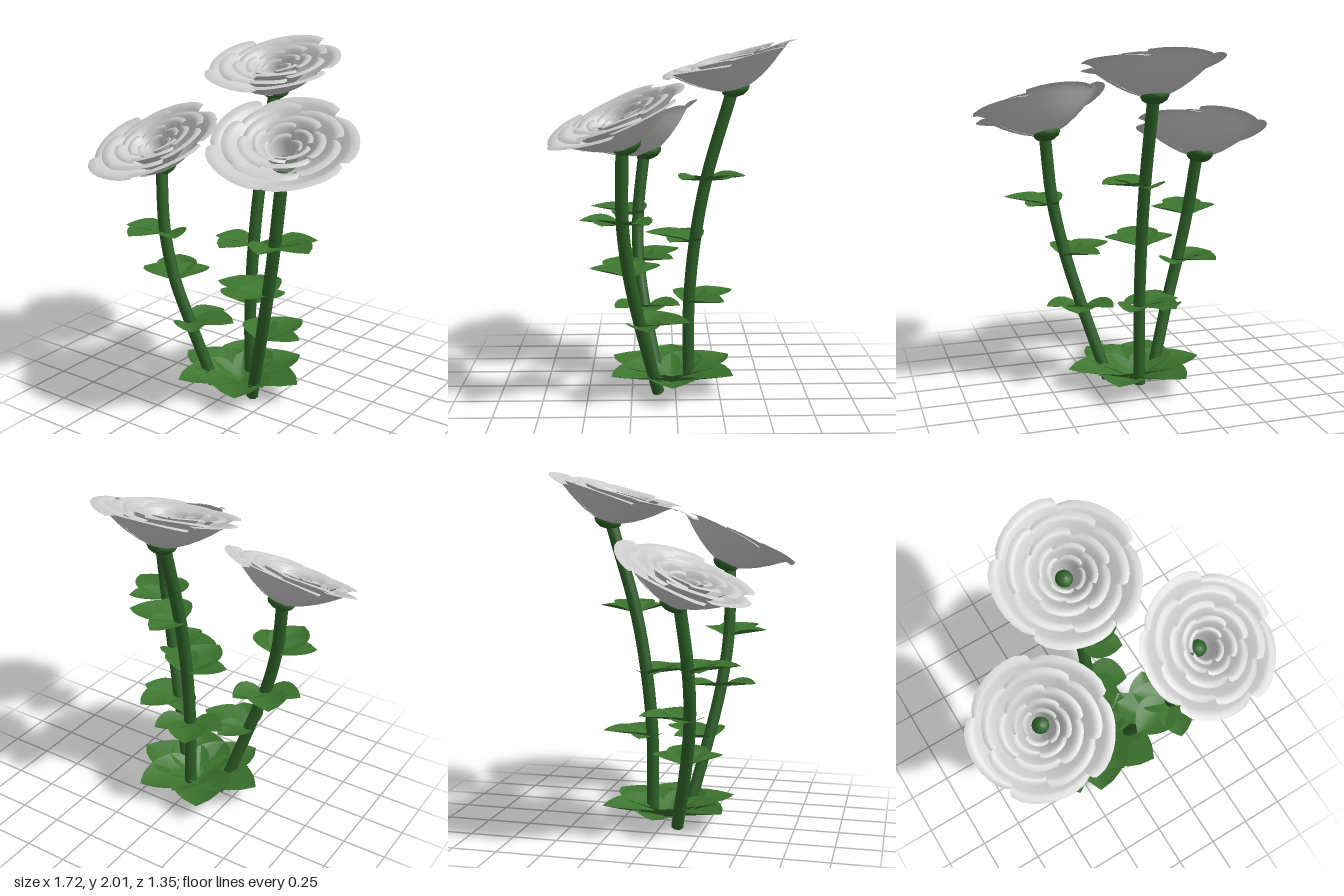
import * as THREE from 'three';

const petalMat = new THREE.MeshStandardMaterial({ color: 0xcccccc, side: THREE.DoubleSide });
const leafMat = new THREE.MeshStandardMaterial({ color: 0x3c742e, side: THREE.DoubleSide });
const stemMat = new THREE.MeshStandardMaterial({ color: 0x2c6026 });
const rad = THREE.MathUtils.degToRad;

// Open surface from a rule: f(u in -1..1, v in 0..1) -> [x, y, z]
function surface(f, nu, nv) {
  const pos = [], idx = [];
  for (let j = 0; j <= nv; j++)
    for (let i = 0; i <= nu; i++) pos.push(...f((i / nu) * 2 - 1, j / nv));
  for (let j = 0; j < nv; j++)
    for (let i = 0; i < nu; i++) {
      const a = j * (nu + 1) + i, b = a + nu + 1;
      idx.push(a, a + 1, b, b, a + 1, b + 1);
    }
  const g = new THREE.BufferGeometry();
  g.setAttribute('position', new THREE.Float32BufferAttribute(pos, 3));
  g.setIndex(idx);
  g.computeVertexNormals();
  return g;
}

function add(parent, geo, mat, name) {
  const m = new THREE.Mesh(geo, mat);
  m.name = name;
  parent.add(m);
  return m;
}

// Petal swept around the flower axis along a cup profile of [radius, height]
function petalGeometry(profile, halfAngle) {
  const curve = new THREE.SplineCurve(profile.map(p => new THREE.Vector2(...p)));
  return surface((u, v) => {
    const p = curve.getPoint(v);
    const r = p.x * (1 - 0.04 * v * u ** 6 + 0.035 * u * v);
    const a = u * halfAngle * (1 - 0.1 * v ** 8);
    const y = p.y + v * (0.014 * u - 0.01 * u * u);
    return [r * Math.cos(a), y, r * Math.sin(a)];
  }, 8, 9);
}

// Pointed leaf along +x, cupped so its edges stand above the midrib
function leafGeometry(length, width, rise, cup) {
  return surface((u, v) => {
    const w = width * 0.5 * Math.sin(Math.PI * (0.04 + 0.96 * v ** 0.85)) ** 0.75;
    const y = rise * v + cup * Math.abs(u) ** 1.4 * Math.sin(Math.PI * v ** 0.7);
    return [v * length, y, u * w];
  }, 6, 7);
}

// Petal rings, from the wide outer ring to the cup in the middle; each ends in a rolled lip
const rings = [
  { n: 5, half: 38, turn: -34, pts: [[0.03, 0.01], [0.13, 0.05], [0.23, 0.11], [0.32, 0.18], [0.355, 0.199], [0.388, 0.197]] },
  { n: 5, half: 38, turn: 5, pts: [[0.03, 0.02], [0.11, 0.07], [0.19, 0.135], [0.25, 0.19], [0.28, 0.208], [0.31, 0.203]] },
  { n: 5, half: 38, turn: -20, pts: [[0.03, 0.02], [0.08, 0.07], [0.14, 0.14], [0.175, 0.19], [0.2, 0.207], [0.225, 0.203]] },
  { n: 5, half: 38, turn: 15, pts: [[0.03, 0.02], [0.065, 0.07], [0.1, 0.14], [0.12, 0.18], [0.135, 0.196], [0.155, 0.194]] },
  { n: 4, half: 44, turn: 45, pts: [[0.03, 0.02], [0.05, 0.06], [0.065, 0.11], [0.075, 0.15], [0.085, 0.165], [0.1, 0.165]] },
];
for (const ring of rings) ring.geo = petalGeometry(ring.pts, rad(ring.half));

function createFlower() {
  const flower = new THREE.Group();
  flower.name = 'flower';
  for (const { n, turn, geo } of rings)
    for (let i = 0; i < n; i++)
      add(flower, geo, petalMat, 'petal').rotation.y = -rad(turn + (i * 360) / n);
  // Green base that also shows as the heart of the flower
  const base = [[0, -0.02], [0.04, -0.017], [0.068, 0], [0.08, 0.02], [0.072, 0.035], [0.05, 0.045],
    [0.045, 0.065], [0.025, 0.085], [0, 0.09]].map(p => new THREE.Vector2(...p));
  add(flower, new THREE.LatheGeometry(base, 12), stemMat, 'flowerBase');
  return flower;
}

// Stem leaf: three leaflets fanned out from the stem
const middleLeaf = leafGeometry(0.29, 0.24, 0.05, 0.035);
const sideLeaf = leafGeometry(0.23, 0.2, 0.035, 0.035);
function createStemLeaf() {
  const leaf = new THREE.Group();
  leaf.name = 'stemLeaf';
  add(leaf, middleLeaf, leafMat, 'middleLeaflet');
  for (const s of [-1, 1]) add(leaf, sideLeaf, leafMat, 'sideLeaflet').rotation.y = s * rad(58);
  return leaf;
}

// Stem path, flower position, direction the flower faces, leaves as [height, compass angle]
const plants = [
  { path: [[0, 0.03, -0.08], [0, 0.5, -0.08], [0, 0.88, -0.115], [0, 1.24, -0.18], [0, 1.71, -0.315]],
    flower: [0, 1.715, -0.345], face: [0, 1, 0.27], leaves: [[1.21, -20], [0.86, 98], [0.5, 243]] },
  { path: [[-0.14, 0.015, 0.1], [-0.26, 0.43, 0.18], [-0.34, 0.7, 0.215], [-0.4, 0.98, 0.215], [-0.44, 1.31, 0.18]],
    flower: [-0.445, 1.305, 0.14], face: [-0.15, 1, 0.42], leaves: [[0.95, 95], [0.67, 237], [0.4, -8]] },
  { path: [[0.14, 0.015, 0.1], [0.27, 0.45, 0.2], [0.355, 0.77, 0.26], [0.415, 1.07, 0.29], [0.455, 1.47, 0.285]],
    flower: [0.445, 1.455, 0.25], face: [0.17, 1, 0.42], leaves: [[1.04, 20], [0.74, 165], [0.44, 290]] },
];

function createPlant({ path, flower: at, face, leaves }) {
  const plant = new THREE.Group();
  plant.name = 'floweringStem';
  const curve = new THREE.CatmullRomCurve3(path.map(p => new THREE.Vector3(...p)));
  add(plant, new THREE.TubeGeometry(curve, 20, 0.035, 10), stemMat, 'stem');
  const cap = add(plant, new THREE.CircleGeometry(0.035, 10), stemMat, 'stemEnd');
  cap.position.copy(curve.getPoint(0));
  cap.quaternion.setFromUnitVectors(new THREE.Vector3(0, 0, 1), curve.getTangent(0).negate());

  const flower = createFlower();
  flower.position.set(...at);
  flower.quaternion.setFromUnitVectors(new THREE.Vector3(0, 1, 0), new THREE.Vector3(...face).normalize());
  plant.add(flower);

  const samples = curve.getPoints(200);
  for (const [y, angle] of leaves) {
    const leaf = createStemLeaf();
    leaf.position.copy(samples.find(p => p.y >= y));
    leaf.rotation.y = -rad(angle);
    plant.add(leaf);
  }
  return plant;
}

export function createModel() {
  const model = new THREE.Group();
  model.name = 'flowerCluster';
  for (const p of plants) model.add(createPlant(p));

  // Rosette of ground leaves in two layers
  const rosette = new THREE.Group();
  rosette.name = 'groundLeaves';
  rosette.position.z = 0.02;
  const large = leafGeometry(0.4, 0.33, 0.1, 0.06), small = leafGeometry(0.3, 0.24, 0.09, 0.05);
  for (let i = 0; i < 6; i++) {
    const outer = add(rosette, large, leafMat, 'largeGroundLeaf');
    outer.rotation.y = rad(i * 60);
    outer.position.y = 0.025;
    const inner = add(rosette, small, leafMat, 'smallGroundLeaf');
    inner.rotation.y = rad(30 + i * 60);
    inner.position.y = 0.035;
  }
  model.add(rosette);
  return model;
}
